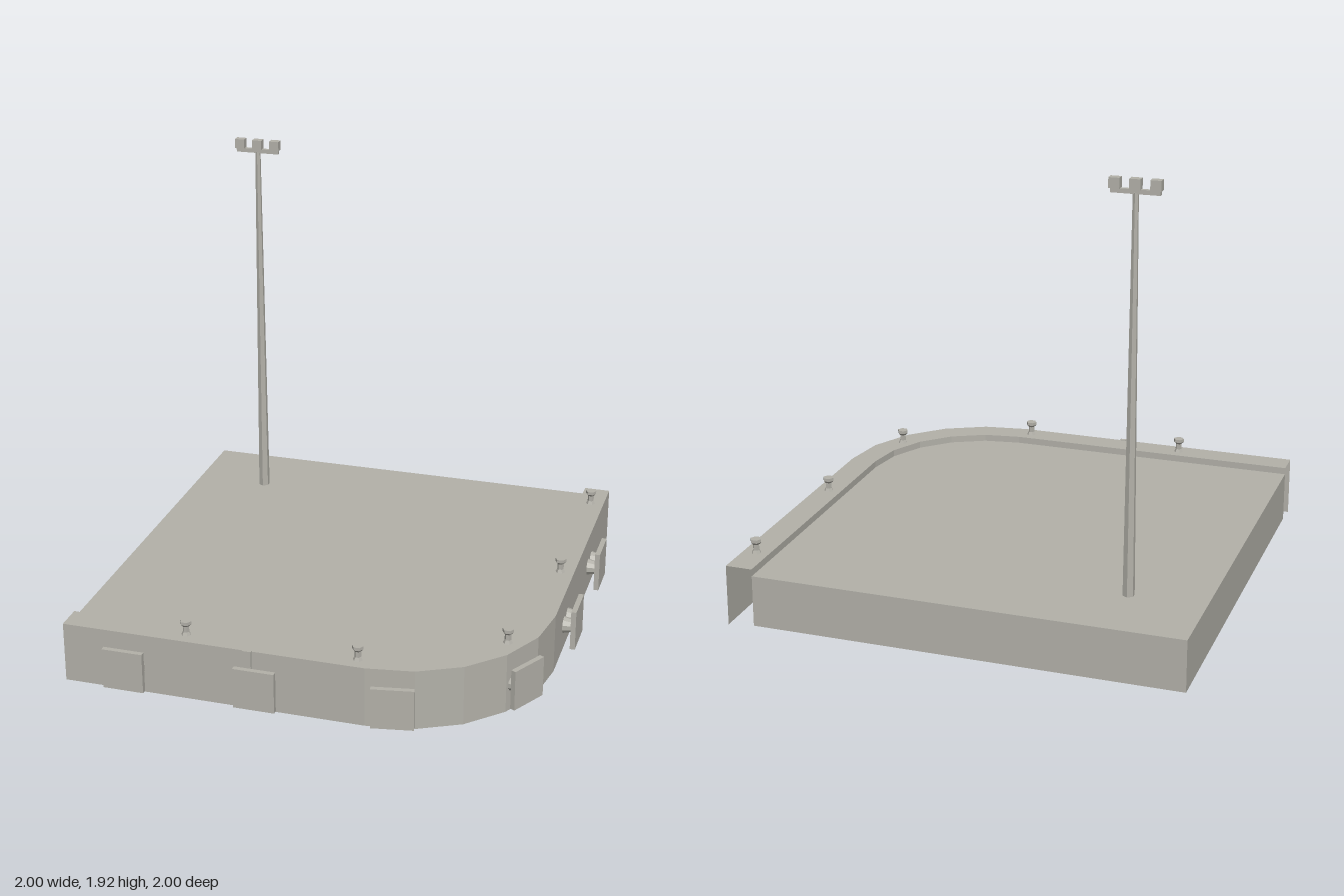
import * as THREE from 'three';

const concrete = new THREE.MeshStandardMaterial({ color: 0xb3b1a9, flatShading: true, side: THREE.DoubleSide });
concrete.name = 'concrete grey';

const CURB = 0.262, DECK = 0.232, OUT = 0.935, IN = 0.82, C = 0.295;

// Quay edge as [x, z], from the left front end, round the corner, to the back
function edge(d) {
  const pts = [[-1, d]];
  for (let i = 0; i <= 5; i++) {
    const a = (i * Math.PI) / 10;
    pts.push([C + (d - C) * Math.sin(a), C + (d - C) * Math.cos(a)]);
  }
  pts.push([d, -1]);
  return pts;
}

// Open band of quads between two matching edge lines at given heights
function band(name, lower, y0, upper, y1) {
  const pos = [];
  for (let i = 0; i < lower.length - 1; i++) {
    const a = [lower[i][0], y0, lower[i][1]], b = [lower[i + 1][0], y0, lower[i + 1][1]];
    const c = [upper[i + 1][0], y1, upper[i + 1][1]], d = [upper[i][0], y1, upper[i][1]];
    pos.push(...a, ...b, ...c, ...a, ...c, ...d);
  }
  const g = new THREE.BufferGeometry();
  g.setAttribute('position', new THREE.Float32BufferAttribute(pos, 3));
  g.computeVertexNormals();
  return mesh(name, g);
}

function mesh(name, geometry, x = 0, y = 0, z = 0) {
  const m = new THREE.Mesh(geometry, concrete);
  m.name = name;
  m.position.set(x, y, z);
  return m;
}

const box = (name, w, h, d, x, y, z) => mesh(name, new THREE.BoxGeometry(w, h, d), x, y, z);

// Mooring bollard: flared foot, slim stem, wide cap
function bollard(x, z) {
  const profile = [[0.021, 0], [0.014, 0.015], [0.014, 0.04], [0.024, 0.05], [0.024, 0.064], [0, 0.064]];
  const m = mesh('bollard', new THREE.LatheGeometry(profile.map(p => new THREE.Vector2(...p)), 6), x, CURB, z);
  m.rotation.y = Math.PI / 6;
  return m;
}

// Fender: square plate on two tapered rubber cones, facing outward by angle
function fender(x, z, angle) {
  const g = new THREE.Group();
  g.name = 'fender';
  g.add(box('fenderPlate', 0.175, 0.177, 0.022, 0, 0.117, 0));
  for (const s of [-1, 1]) {
    const cone = mesh('fenderCone', new THREE.CylinderGeometry(0.027, 0.038, 0.045, 10), s * 0.04, 0.117, -0.031);
    cone.rotation.x = Math.PI / 2;
    g.add(cone);
  }
  g.position.set(x, 0, z);
  g.rotation.y = angle;
  return g;
}

// Floodlight mast with a crossbar and three lamps
function lightMast() {
  const g = new THREE.Group();
  g.name = 'lightMast';
  g.add(mesh('mastPole', new THREE.CylinderGeometry(0.012, 0.025, 1.87 - DECK, 6), 0, (1.87 + DECK) / 2, 0));
  g.add(box('crossbar', 0.195, 0.018, 0.018, 0, 1.874, 0));
  for (const x of [-0.081, 0, 0.081]) g.add(box('lamp', 0.043, 0.042, 0.034, x, 1.903, 0));
  g.position.set(-0.678, 0, -0.68);
  return g;
}

export function createModel() {
  const model = new THREE.Group();
  model.name = 'quay';
  const outer = edge(OUT), inner = edge(IN);

  // Solid deck slab with the rounded corner
  const shape = new THREE.Shape([...inner, [-1, -1]].map(([x, z]) => new THREE.Vector2(x, -z)));
  const slab = mesh('deckSlab', new THREE.ExtrudeGeometry(shape, { depth: DECK - 0.012, bevelEnabled: false }), 0, 0.012, 0);
  slab.rotation.x = -Math.PI / 2;
  model.add(slab);

  // Hollow curb: outer wall, flat top and low inner step
  model.add(band('quayWall', outer, 0, outer, CURB));
  model.add(band('curbTop', outer, CURB, inner, CURB));
  model.add(band('curbStep', inner, DECK, inner, CURB));

  // Narrow ladder strip on the front wall
  model.add(box('ladder', 0.038, 0.265, 0.014, -0.197, 0.1325, OUT + 0.004));

  for (const [x, z] of [[-0.48, 0.875], [0.25, 0.875], [0.793, 0.57], [0.875, -0.11], [0.875, -0.84]]) {
    model.add(bollard(x, z));
  }

  const deg = Math.PI / 180;
  for (const [x, z, a] of [
    [-0.718, 0.984, 0], [-0.153, 0.984, 0], [0.418, 0.966, 10],
    [0.887, 0.617, 61], [0.984, 0.052, 90], [0.984, -0.515, 90],
  ]) model.add(fender(x, z, a * deg));

  model.add(lightMast());
  return model;
}
